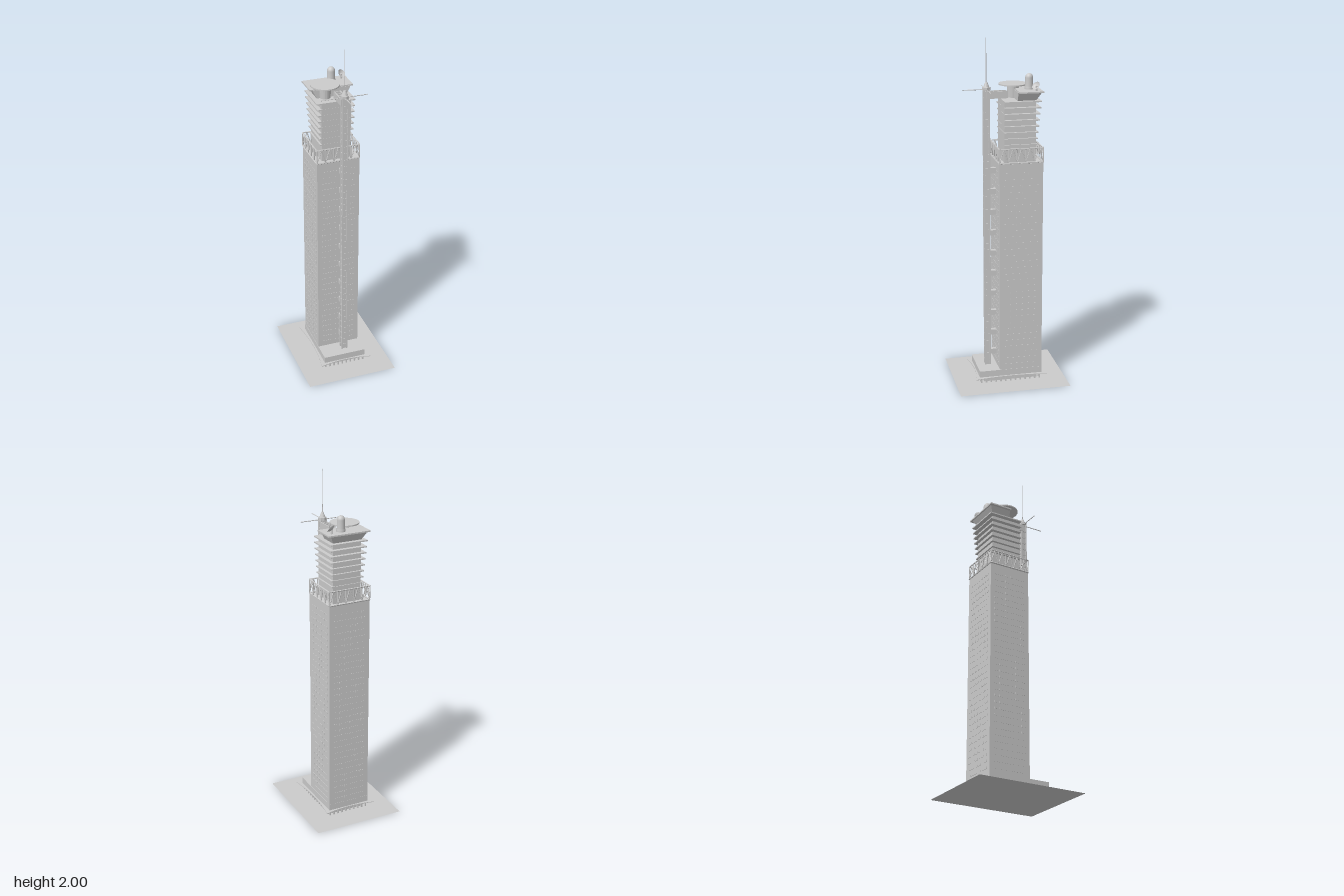
import * as THREE from 'three';
import { mergeGeometries } from 'three/addons/utils/BufferGeometryUtils.js';

const mat = new THREE.MeshStandardMaterial({ color: 0xcccccc, flatShading: true });
const smooth = new THREE.MeshStandardMaterial({ color: 0xcccccc });
const thin = new THREE.MeshStandardMaterial({ color: 0xcccccc, side: THREE.DoubleSide });

// Box geometry given by its extents
const block = (x0, x1, y0, y1, z0, z1) =>
  new THREE.BoxGeometry(x1 - x0, y1 - y0, z1 - z0)
    .translate((x0 + x1) / 2, (y0 + y1) / 2, (z0 + z1) / 2);

// Thin round bar between two points
function bar(a, b, r, sides = 5) {
  const p = new THREE.Vector3(...a), q = new THREE.Vector3(...b);
  const dir = q.clone().sub(p);
  const turn = new THREE.Quaternion().setFromUnitVectors(
    new THREE.Vector3(0, 1, 0), dir.clone().normalize());
  return new THREE.CylinderGeometry(r, r, dir.length(), sides)
    .applyQuaternion(turn).translate(...p.add(q).multiplyScalar(0.5).toArray());
}

export function createModel() {
  const model = new THREE.Group();
  const tower = new THREE.Group();
  tower.name = 'tower';
  tower.rotation.y = -0.696;
  model.add(tower);
  const add = (name, geometry, material = mat) => {
    const geo = Array.isArray(geometry) ? mergeGeometries(geometry) : geometry;
    const mesh = new THREE.Mesh(geo, material);
    mesh.name = name;
    tower.add(mesh);
    return mesh;
  };

  // Main block extents, and where the outer lift shaft stands
  const U0 = -0.184, U1 = 0.065, V = 0.125, TOP = 1.31;
  const mastU = 0.117, mastV = -0.016;

  // Ground sheet
  add('ground sheet', new THREE.PlaneGeometry(0.647, 0.536).rotateX(-Math.PI / 2), thin);

  // Canopy with four inward-curving edges
  const s = new THREE.Shape();
  s.moveTo(-0.211, -0.155);
  s.quadraticCurveTo(0, -0.117, 0.211, -0.155);
  s.quadraticCurveTo(0.172, 0, 0.211, 0.155);
  s.quadraticCurveTo(0, 0.117, -0.211, 0.155);
  s.quadraticCurveTo(-0.172, 0, -0.211, -0.155);
  add('canopy', new THREE.ExtrudeGeometry(s, { depth: 0.004, bevelEnabled: false, curveSegments: 10 })
    .rotateX(Math.PI / 2).translate(0, 0.039, 0));

  // Podium, recessed ground floor and its columns
  add('podium', block(-0.185, 0.185, 0.039, 0.076, -0.127, 0.127));
  add('ground floor', block(-0.16, 0.155, 0, 0.036, -0.1, 0.1));
  const columns = [];
  const column = (u, v) => columns.push(block(u - 0.004, u + 0.004, 0, 0.036, v - 0.004, v + 0.004));
  for (let i = 0; i <= 12; i++)
    for (const side of [-1, 1]) column(-0.174 + i * 0.029, side * 0.118);
  for (let i = 1; i < 9; i++)
    for (const side of [-1, 1]) column(side * 0.174, -0.118 + i * 0.0262);
  add('columns', columns);

  // Main block
  add('main block', block(U0, U1, 0.076, TOP, -V, V));

  // Window strips on all four faces
  const windows = [], middle = (U0 + U1) / 2;
  for (let row = 0; row < 32; row++) {
    const y = 0.1 + row * 0.037;
    for (let col = 0; col < 6; col++) {
      const c = (col - 2.5) * 0.034;
      for (const v of [-V, V])
        windows.push(block(middle + c - 0.013, middle + c + 0.013, y, y + 0.011, v - 0.0015, v + 0.0015));
      for (const u of [U0, U1])
        windows.push(block(u - 0.0015, u + 0.0015, y, y + 0.011, c - 0.013, c + 0.013));
    }
  }
  add('windows', windows);

  // Zigzag truss parapet around the main roof
  const truss = [], y0 = TOP + 0.005, y1 = 1.395;
  const corners = [[U0, -V], [U1, -V], [U1, V], [U0, V]];
  corners.forEach(([a, b], k) => {
    const [c, d] = corners[(k + 1) % 4];
    const at = (t, y) => [a + (c - a) * t, y, b + (d - b) * t];
    truss.push(bar(at(0, y0), at(1, y0), 0.005), bar(at(0, y1), at(1, y1), 0.004));
    for (let i = 0; i < 10; i++) {
      const up = i % 2 === 0;
      truss.push(bar(at(i / 10, up ? y0 : y1), at((i + 1) / 10, up ? y1 : y0), 0.003));
      if (up) truss.push(bar(at(i / 10, y0), at(i / 10, y1), 0.003));
    }
  });
  add('truss parapet', truss);

  // Crown core with fins that widen toward the top
  add('crown core', block(-0.15, 0.03, TOP, 1.655, -0.085, 0.085));
  const fins = [];
  for (let i = 0; i < 8; i++) {
    const t = i / 7, y = 1.405 + t * 0.245;
    fins.push(block(-0.155 - 0.022 * t, 0.031, y, y + 0.007, -0.095 - 0.017 * t, 0.095 + 0.017 * t));
  }
  add('crown fins', fins);

  // Flared block carrying the roof slab
  const flare = block(-0.15, -0.045, 1.655, 1.705, -0.085, 0.085);
  const p = flare.attributes.position;
  for (let i = 0; i < p.count; i++) {
    if (p.getY(i) < 1.68) continue;
    p.setZ(i, p.getZ(i) * 1.3);
    if (p.getX(i) < -0.1) p.setX(i, -0.178);
  }
  flare.computeVertexNormals();
  add('flared roof block', flare);
  add('roof slab', block(-0.185, -0.048, 1.703, 1.711, -0.127, 0.125));

  // Round landing pad on a short stem
  add('landing pad', new THREE.CylinderGeometry(0.081, 0.081, 0.007, 40).translate(-0.046, 1.732, 0.038));
  add('landing pad stem', new THREE.CylinderGeometry(0.035, 0.03, 0.08, 20).translate(-0.046, 1.692, 0.038));

  // Domed turret
  const profile = [[0.025, 1.71], [0.025, 1.725], [0.022, 1.727], [0.022, 1.775]]
    .map(q => new THREE.Vector2(...q));
  for (let i = 1; i <= 6; i++) {
    const a = i * Math.PI / 12;
    profile.push(new THREE.Vector2(0.022 * Math.cos(a), 1.775 + 0.024 * Math.sin(a)));
  }
  add('domed turret', new THREE.LatheGeometry(profile, 24).translate(-0.124, 0, -0.025), smooth);

  // Tilted dish on a post
  const dish = add('dish', new THREE.SphereGeometry(0.036, 24, 6, 0, Math.PI * 2, 0, 0.75)
    .rotateX(Math.PI).translate(0, 0.032, 0), thin);
  dish.position.set(-0.149, 1.737, -0.093);
  dish.rotation.set(-0.6, 0, -0.7);
  add('dish post', bar([-0.149, 1.708, -0.093], [-0.149, 1.738, -0.093], 0.006, 8));

  // Outer lift shaft: core, corner rails and rungs
  const shaft = [block(mastU - 0.013, mastU + 0.013, 0.076, 1.72, mastV - 0.013, mastV + 0.013)];
  for (const a of [-1, 1])
    for (const b of [-1, 1]) {
      const u = mastU + a * 0.014, v = mastV + b * 0.014;
      shaft.push(block(u - 0.004, u + 0.004, 0.076, 1.72, v - 0.004, v + 0.004));
    }
  for (let y = 0.1; y < 1.71; y += 0.04)
    shaft.push(block(mastU - 0.016, mastU + 0.016, y, y + 0.008, mastV - 0.016, mastV + 0.016));
  add('lift shaft', shaft);

  // Link bridges from shaft to main block
  const links = [];
  for (let i = 0; i < 10; i++) {
    const y = 0.155 + i * 0.1222;
    links.push(block(U1, mastU - 0.012, y - 0.015, y + 0.015, mastV - 0.013, mastV + 0.013));
  }
  add('link bridges', links);

  // Ladder-like bridge at the top
  const bridge = [];
  for (const side of [-1, 1]) {
    const v = mastV + side * 0.017;
    bridge.push(block(-0.002, mastU, 1.665, 1.705, v - 0.003, v + 0.003));
  }
  for (let i = 0; i < 5; i++)
    bridge.push(block(i * 0.024, i * 0.024 + 0.005, 1.668, 1.702, mastV - 0.017, mastV + 0.017));
  add('top bridge', bridge);

  // Shaft cap, radial rods and spire
  add('shaft cap', [
    new THREE.CylinderGeometry(0.024, 0.024, 0.016, 8).translate(mastU, 1.72, mastV),
    new THREE.CylinderGeometry(0.006, 0.018, 0.03, 8).translate(mastU, 1.742, mastV),
  ]);
  const rods = [[0.133, 0], [0, 0.133], [0, -0.133]].map(([a, b]) =>
    bar([mastU, 1.715, mastV], [mastU + a, 1.715, mastV + b], 0.0025));
  add('radial rods', rods);
  add('spire', new THREE.CylinderGeometry(0.001, 0.0025, 0.26, 6).translate(mastU, 1.87, mastV));

  return model;
}
